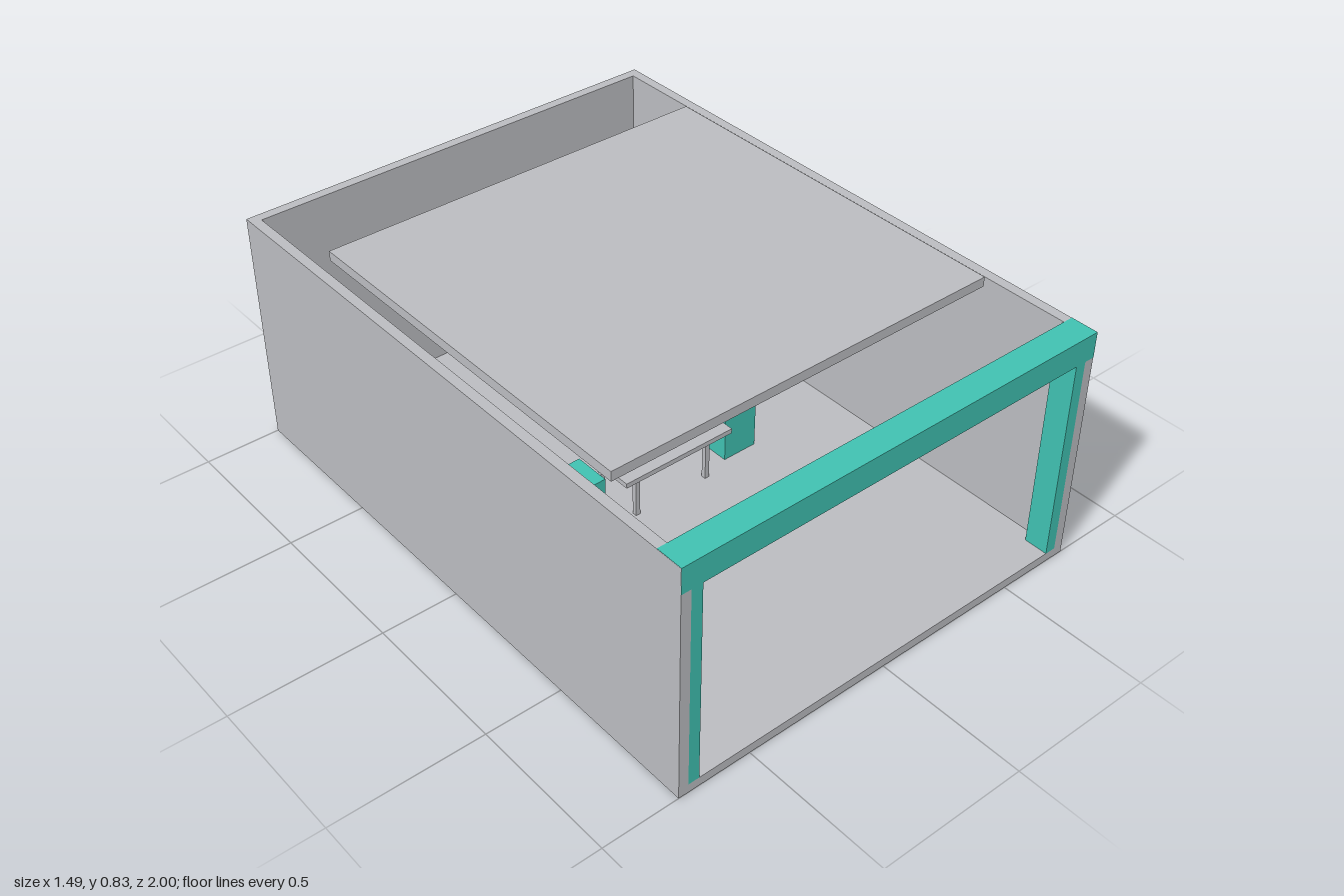
import * as THREE from 'three';

const grey = new THREE.MeshStandardMaterial({ color: 0xbbbcc0 });
grey.name = 'light grey';
const teal = new THREE.MeshStandardMaterial({ color: 0x40c1b1 });
teal.name = 'teal';

// Box given by its lower and upper limits on each axis
function block(name, material, [x0, x1], [y0, y1], [z0, z1]) {
  const mesh = new THREE.Mesh(new THREE.BoxGeometry(x1 - x0, y1 - y0, z1 - z0), material);
  mesh.position.set((x0 + x1) / 2, (y0 + y1) / 2, (z0 + z1) / 2);
  mesh.name = name;
  return mesh;
}

export function createModel() {
  const model = new THREE.Group();
  model.name = 'pavilion';
  const W = 0.747, H = 0.8, T = 0.033, FLOOR = 0.03;

  // Shell: floor, back wall and raised roof panel
  model.add(
    block('floor', grey, [-W, W], [0, FLOOR], [-1, 1]),
    block('backWall', grey, [-W + T, W - T], [FLOOR, H], [-1, -1 + T]),
    block('roofPanel', grey, [-0.675, 0.675], [H, 0.832], [-0.648, 0.648]),
    // Front beam sits just proud of the wall ends
    block('frontBeam', teal, [-W + 0.0005, W - 0.0005], [0.716, H + 0.001], [0.91, 1.001])
  );

  // Mirrored walls, door posts and stools
  for (const [side, s] of [['left', 1], ['right', -1]]) {
    const span = (a, b) => (s > 0 ? [a, b] : [-b, -a]);
    model.add(
      block(side + 'Wall', grey, span(W - T, W), [FLOOR, H], [-1, 1]),
      block(side + 'Post', teal, span(0.677, W - T), [FLOOR, 0.716], [0.92, 1]),
      block(side + 'Stool', teal, span(0.238, 0.363), [FLOOR, 0.203], [-0.0625, 0.0625])
    );
  }

  // Table with four legs
  const table = new THREE.Group();
  table.name = 'table';
  table.add(block('tableTop', grey, [-0.207, 0.207], [0.19, 0.207], [-0.125, 0.125]));
  for (const x of [-0.138, 0.138]) {
    for (const z of [-0.085, 0.085]) {
      table.add(block('tableLeg', grey, [x - 0.008, x + 0.008], [FLOOR, 0.19], [z - 0.008, z + 0.008]));
    }
  }
  model.add(table);
  return model;
}
